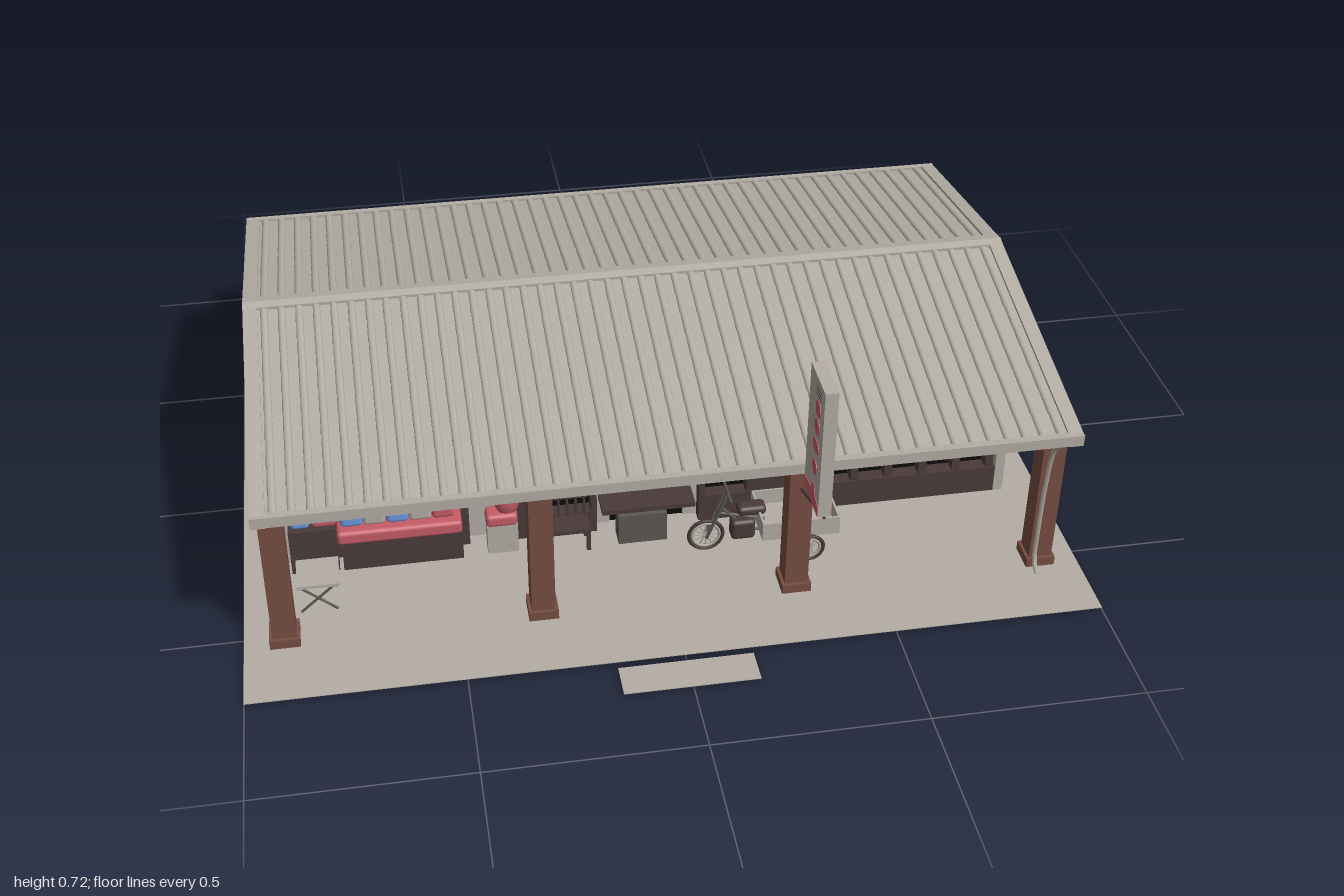
import * as THREE from 'three';
import { mergeGeometries } from 'three/addons/utils/BufferGeometryUtils.js';
import { RoundedBoxGeometry } from 'three/addons/geometries/RoundedBoxGeometry.js';

const paint = (name, color) => Object.assign(new THREE.MeshStandardMaterial({ color }), { name });

export function createModel() {
  const plaster = paint('plaster', 0xb3ada4), brown = paint('timber', 0x774d42);
  const dark = paint('darkTimber', 0x4b3a3a), black = paint('glassBlack', 0x0c0c0d);
  const red = paint('red', 0xc65d67), blue = paint('blue', 0x6b98e0), grey = paint('metal', 0x5d5853);
  plaster.side = dark.side = THREE.DoubleSide;
  const root = new THREE.Group();

  const add = (name, geo, mat, parent = root) => {
    const m = new THREE.Mesh(geo, mat);
    m.name = name;
    parent.add(m);
    return m;
  };
  const boxGeo = (x0, x1, y0, y1, z0, z1) => new THREE.BoxGeometry(x1 - x0, y1 - y0, z1 - z0)
    .translate((x0 + x1) / 2, (y0 + y1) / 2, (z0 + z1) / 2);
  const box = (name, mat, ...b) => add(name, boxGeo(...b), mat);
  const boxes = (name, mat, list, parent) => add(name, mergeGeometries(list.map(b => boxGeo(...b))), mat, parent);
  const soft = (name, mat, x0, x1, y0, y1, z0, z1, parent) => add(name,
    new RoundedBoxGeometry(x1 - x0, y1 - y0, z1 - z0, 2, 0.01)
      .translate((x0 + x1) / 2, (y0 + y1) / 2, (z0 + z1) / 2), mat, parent);
  const ball = (name, mat, [x, y, z], [rx, ry, rz]) => add(name,
    new THREE.SphereGeometry(1, 14, 10).scale(rx, ry, rz).translate(x, y, z), mat);
  // Side profile of [z, y] points extruded from x0 to x1
  const slab = (pts, x0, x1) => new THREE.ExtrudeGeometry(
    new THREE.Shape(pts.map(p => new THREE.Vector2(...p))), { depth: x1 - x0, bevelEnabled: false })
    .rotateY(-Math.PI / 2).translate(x1, 0, 0);
  const rod = (a, b, r, sides = 6) => new THREE.TubeGeometry(
    new THREE.LineCurve3(new THREE.Vector3(...a), new THREE.Vector3(...b)), 1, r, sides);
  const rods = (name, mat, list, r, parent) =>
    add(name, mergeGeometries(list.map(([a, b]) => rod(a, b, r))), mat, parent);

  // Ground, room floor underside and front step
  box('ground', plaster, -1, 1, 0.004, 0.006, -0.83, 0.715);
  box('roomFloor', brown, -0.9, -0.3, 0.001, 0.004, -0.8, 0.21);
  box('step', plaster, -0.16, 0.155, 0.004, 0.006, 0.735, 0.82);

  // Main body, gabled upper storey and low rear roof
  box('body', plaster, -0.908, 0.908, 0.005, 0.352, -0.803, 0.195);
  boxes('wingWalls', plaster, [-1, 1].map(s => [s * 0.896 - 0.012, s * 0.896 + 0.012, 0.005, 0.352, 0.19, 0.241]));
  add('upperWall', slab([[0.24, 0.35], [-0.61, 0.35], [-0.61, 0.44], [-0.06, 0.535], [0.24, 0.475]], -0.9, 0.9), plaster);
  box('rearRoof', dark, -0.912, 0.912, 0.351, 0.36, -0.808, -0.6);
  boxes('sideTrim', dark, [-1, 1].map(s => [s * 0.905 - 0.005, s * 0.905 + 0.005, 0.35, 0.36, -0.6, 0.243]));

  // Roof: underlay, sheet, edge boards, ridge cap
  const ridge = -0.06, frontTilt = Math.atan(0.14 / 0.66), backTilt = Math.atan(0.095 / 0.575);
  const band = (top, bottom) => [[0.6, 0.43 + top], [ridge, 0.57 + top], [-0.635, 0.475 + top],
    [-0.635, 0.475 + bottom], [ridge, 0.57 + bottom], [0.6, 0.43 + bottom]];
  add('roofSheet', slab(band(-0.007, -0.022), -0.92, 0.92), plaster);
  add('roofUnderlay', slab([[0.58, 0.413], [ridge, 0.549], [-0.61, 0.458], [-0.61, 0.445], [ridge, 0.535], [0.58, 0.4]], -0.91, 0.91), dark);
  for (const s of [-1, 1]) add('rakeBoard', slab(band(0, -0.027), s * 0.926 - 0.017, s * 0.926 + 0.017), plaster);
  box('frontEaveBoard', plaster, -0.943, 0.943, 0.405, 0.432, 0.582, 0.601);
  box('rearEaveBoard', plaster, -0.943, 0.943, 0.45, 0.477, -0.636, -0.62);
  add('ridgeCap', slab([[-0.04, 0.566], [ridge, 0.572], [-0.09, 0.566], [-0.09, 0.55], [-0.04, 0.55]], -0.943, 0.943), plaster);

  // Rows of overlapping half-round tiles
  const tiles = [];
  const tileSlope = (z0, z1, rows, tilt, front) => {
    const len = (z1 - z0) / rows;
    for (let r = 0; r < rows; r++) {
      const z = z0 + (r + 0.5) * len;
      const y = 0.5635 - Math.abs(z - ridge) * Math.tan(tilt);
      const tile = new THREE.CylinderGeometry(front ? 0.0085 : 0.0095, front ? 0.0095 : 0.0085,
        len / Math.cos(tilt), 6, 1, true, -Math.PI / 2, Math.PI)
        .scale(1, 1, 0.7).rotateX(-Math.PI / 2).rotateX(front ? tilt : -tilt);
      for (let i = 0; i < 44; i++) tiles.push(tile.clone().translate(-0.893 + i * 0.0415, y, z));
    }
  };
  tileSlope(-0.04, 0.583, 9, frontTilt, true);
  tileSlope(-0.62, -0.09, 8, backTilt, false);
  add('roofTiles', mergeGeometries(tiles), plaster);

  // Porch columns, beams and hanging lanterns
  const columnX = [-0.905, -0.305, 0.3, 0.905];
  boxes('columns', brown, columnX.flatMap(x => [
    [x - 0.028, x + 0.028, 0.01, 0.41, 0.482, 0.538],
    [x - 0.035, x + 0.035, 0, 0.03, 0.474, 0.546]]));
  boxes('porchBeams', dark, [[-0.93, 0.93, 0.4, 0.42, 0.5, 0.52],
    ...columnX.map(x => [x - 0.01, x + 0.01, 0.402, 0.416, 0.24, 0.58])]);
  for (const x of [-0.78, -0.43, -0.225, 0.2]) {
    add('lantern', new THREE.CylinderGeometry(0.024, 0.024, 0.08, 12).translate(x, 0.405, 0.35), red);
    add('lanternCord', rod([x, 0.44, 0.35], [x, 0.475, 0.35], 0.003), dark);
  }
  add('drainPipe', new THREE.TubeGeometry(new THREE.CatmullRomCurve3([[0.6, 0.41], [0.575, 0.38], [0.555, 0.26],
    [0.55, 0.12], [0.555, 0.03], [0.58, 0.012]].map(([z, y]) => new THREE.Vector3(0.885, y, z))), 16, 0.006, 6), plaster);

  // Shop front: dark glazing behind a timber frame
  box('glazing', black, -0.884, 0.884, 0.006, 0.365, 0.195, 0.204);
  const frame = [[-0.884, 0.884, 0.333, 0.367, 0.204, 0.243], [0.13, 0.884, 0.277, 0.297, 0.204, 0.24],
    [0.13, 0.884, 0.006, 0.08, 0.204, 0.24], [-0.884, -0.46, 0.006, 0.12, 0.204, 0.24],
    [-0.28, -0.14, 0.006, 0.07, 0.204, 0.24], [-0.28, -0.14, 0.275, 0.287, 0.204, 0.24],
    [-0.465, -0.45, 0.006, 0.333, 0.204, 0.24], [-0.45, -0.33, 0.25, 0.333, 0.204, 0.235],
    [-0.34, -0.27, 0.006, 0.333, 0.204, 0.24], [-0.15, -0.135, 0.006, 0.333, 0.204, 0.24],
    [0.12, 0.135, 0.006, 0.333, 0.204, 0.24], [0.24, 0.345, 0.006, 0.333, 0.204, 0.24],
    [-0.135, 0.12, 0.278, 0.29, 0.204, 0.24]];
  for (let x = 0.43; x < 0.88; x += 0.0875) frame.push([x - 0.01, x + 0.01, 0.08, 0.333, 0.204, 0.236]);
  for (const x of [-0.82, -0.6, 0.48, 0.7]) frame.push([x - 0.008, x + 0.008, 0.367, 0.395, 0.235, 0.26]);
  boxes('shopFrame', dark, frame);
  box('entranceLintel', brown, -0.14, -0.02, 0.31, 0.405, 0.24, 0.249);
  box('sideDoor', plaster, -0.45, -0.38, 0.008, 0.25, 0.204, 0.212);
  box('windowBlind', plaster, -0.74, -0.48, 0.17, 0.31, 0.204, 0.209);
  boxes('blindShade', black, [[-0.65, -0.56, 0.26, 0.311, 0.209, 0.212], [-0.74, -0.7, 0.24, 0.311, 0.209, 0.212]]);
  boxes('doorPanels', plaster, [[-0.135, -0.1, 0.008, 0.275, 0.204, 0.212], [0.085, 0.12, 0.008, 0.275, 0.204, 0.212],
    ...[0.14, 0.197, 0.25].map(y => [-0.085, 0.075, y - 0.023, y + 0.023, 0.204, 0.21])]);

  // Sofa with cushions and a red armchair
  box('sofaBase', dark, -0.76, -0.47, 0.006, 0.09, 0.23, 0.29);
  soft('sofaSeat', red, -0.77, -0.47, 0.088, 0.125, 0.225, 0.3);
  [blue, plaster, blue, plaster, red].forEach((mat, i) =>
    soft('cushion', mat, -0.76 + i * 0.055, -0.706 + i * 0.055, 0.122, 0.167, 0.245, 0.275));
  soft('tallCushion', blue, -0.877, -0.832, 0.13, 0.218, 0.245, 0.275);
  soft('tallCushion', red, -0.827, -0.768, 0.13, 0.218, 0.245, 0.275);
  box('cushionBench', dark, -0.884, -0.77, 0.006, 0.13, 0.24, 0.285);
  box('armchairBase', plaster, -0.41, -0.335, 0.006, 0.09, 0.245, 0.285);
  soft('armchairSeat', red, -0.412, -0.335, 0.088, 0.122, 0.24, 0.29);
  ball('armchairBack', red, [-0.358, 0.16, 0.262], [0.033, 0.056, 0.026]);
  ball('wallOrnament', red, [-0.352, 0.26, 0.236], [0.024, 0.058, 0.005]);

  // Light folding table and brown counter
  box('foldingTableTop', plaster, -0.87, -0.77, 0.085, 0.093, 0.34, 0.44);
  rods('foldingTableLegs', grey, [0.35, 0.43].flatMap(z =>
    [[[-0.865, 0.01, z], [-0.78, 0.085, z]], [[-0.78, 0.01, z], [-0.865, 0.085, z]]]), 0.003);
  box('counterBox', grey, -0.09, 0.03, 0.006, 0.09, 0.245, 0.3);
  box('counterTop', dark, -0.13, 0.1, 0.1, 0.112, 0.225, 0.3);

  // Slatted chair
  const slats = [0, 1, 2, 3, 4, 5].map(i => [-0.276 + i * 0.021, -0.27 + i * 0.021, 0.07, 0.13, 0.246, 0.252]);
  boxes('slattedChair', dark, [...slats, [-0.28, -0.16, 0.06, 0.07, 0.245, 0.31], [-0.28, -0.16, 0.125, 0.133, 0.245, 0.253],
    ...[-0.28, -0.17].flatMap(x => [0.245, 0.3].map(z => [x, x + 0.01, 0.006, 0.065, z, z + 0.01]))]);

  // Cargo tricycle
  const trike = new THREE.Group();
  trike.name = 'tricycle';
  root.add(trike);
  const wheel = (x, z, r) => {
    add('tyre', new THREE.TorusGeometry(r - 0.006, 0.005, 6, 20).translate(x, r + 0.01, z), dark, trike);
    add('rim', new THREE.TorusGeometry(r - 0.014, 0.004, 6, 20).translate(x, r + 0.01, z), plaster, trike);
    const spokes = [0, 1, 2, 3, 4, 5].map(i => {
      const a = i * Math.PI / 6, c = Math.cos(a) * (r - 0.014), s = Math.sin(a) * (r - 0.014);
      return rod([x - c, r + 0.01 - s, z], [x + c, r + 0.01 + s, z], 0.002, 4);
    });
    add('spokes', mergeGeometries(spokes), plaster, trike);
  };
  wheel(0.115, 0.36, 0.048);
  for (const z of [0.28, 0.44]) wheel(0.355, z, 0.04);
  boxes('cargoBed', plaster, [[0.24, 0.43, 0.078, 0.086, 0.295, 0.43],
    ...[0.295, 0.425].map(z => [0.24, 0.43, 0.08, 0.127, z, z + 0.005]),
    ...[0.24, 0.425].map(x => [x, x + 0.005, 0.08, 0.127, 0.295, 0.43])], trike);
  rods('trikeFrame', grey, [[[0.115, 0.055, 0.37], [0.16, 0.17, 0.37]], [[0.115, 0.055, 0.35], [0.16, 0.17, 0.35]],
    [[0.15, 0.14, 0.36], [0.22, 0.06, 0.36]], [[0.15, 0.12, 0.36], [0.26, 0.09, 0.36]],
    [[0.22, 0.06, 0.36], [0.355, 0.06, 0.36]], [[0.355, 0.05, 0.28], [0.355, 0.05, 0.44]],
    [[0.165, 0.185, 0.31], [0.165, 0.185, 0.41]], [[0.16, 0.16, 0.36], [0.165, 0.185, 0.36]]], 0.004, trike);
  soft('engine', dark, 0.175, 0.235, 0.045, 0.1, 0.34, 0.38, trike);
  soft('saddle', dark, 0.19, 0.26, 0.115, 0.14, 0.34, 0.38, trike);

  // Hanging signboard with plain painted ornaments
  box('signboard', plaster, 0.285, 0.315, 0.385, 0.715, 0.61, 0.735);
  for (const s of [-1, 1]) {
    const x = 0.3 + s * 0.0155, x0 = x - 0.001, x1 = x + 0.001;
    add('signBand', slab([[0.733, 0.387], [0.733, 0.412], [0.705, 0.422], [0.695, 0.445], [0.68, 0.445],
      [0.67, 0.422], [0.613, 0.412], [0.613, 0.387]], x0, x1), red);
    for (const [y, rz, ry] of [[0.645, 0.02, 0.02], [0.598, 0.02, 0.02], [0.547, 0.026, 0.016], [0.49, 0.019, 0.019]])
      add('signSpot', new THREE.CylinderGeometry(1, 1, 0.002, 14)
        .rotateZ(Math.PI / 2).scale(1, ry, rz).translate(x, y, 0.688), red);
    boxes('signBars', grey, [0.677, 0.687, 0.697].map(y => [x0, x1, y - 0.002, y + 0.002, 0.668, 0.708]));
  }
  rods('signBracket', dark, [[[0.3, 0.384, 0.735], [0.3, 0.31, 0.535]], [[0.3, 0.382, 0.735], [0.3, 0.382, 0.535]]], 0.004);

  return root;
}
